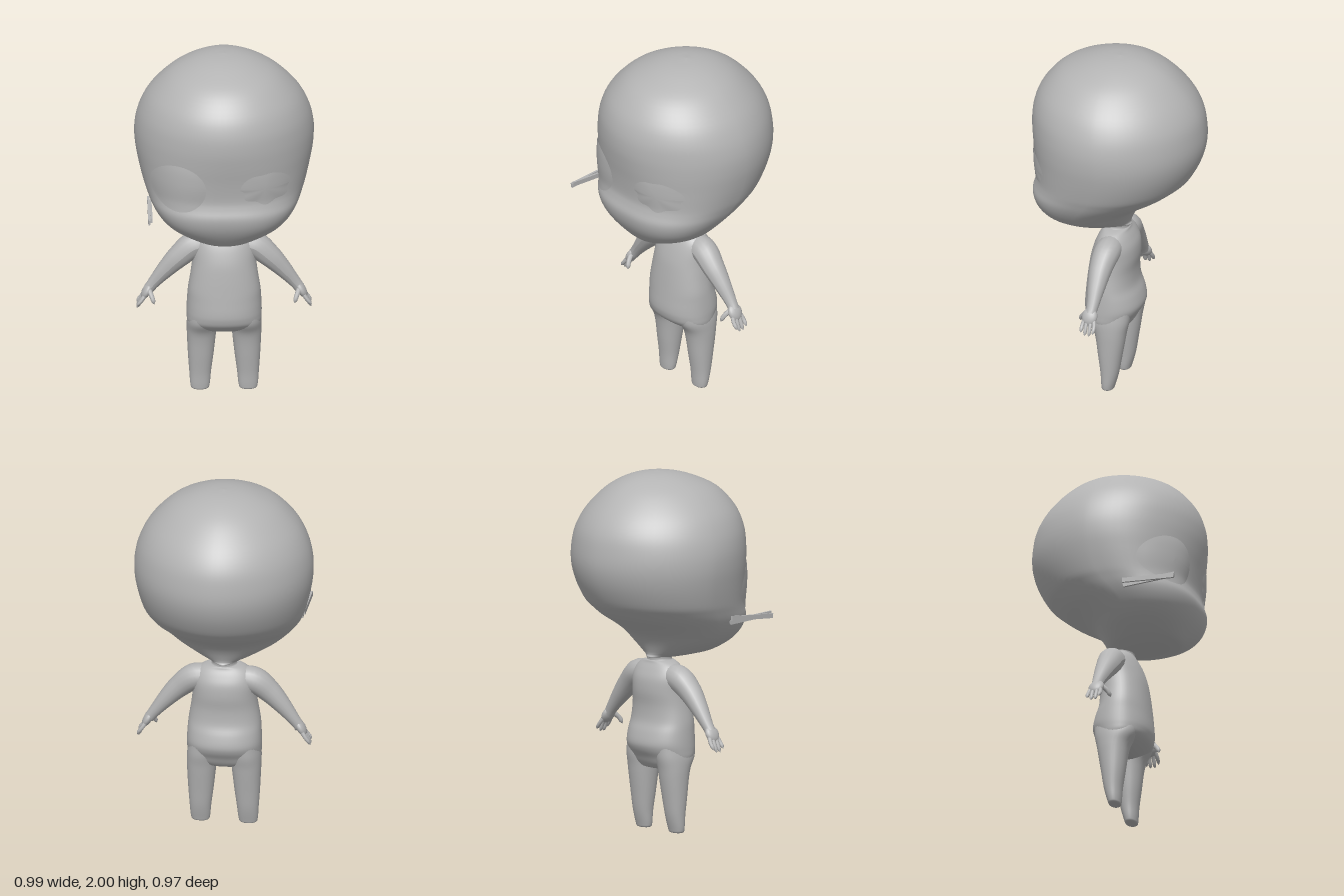
import * as THREE from 'three';

const skin = new THREE.MeshStandardMaterial({ color: 0xb4b4b4, side: THREE.DoubleSide });
skin.name = 'plain grey';

// Smooth curves through sections [y, centreX, halfWidth, frontZ, backZ, frontPower], bottom to top.
// The powers set how square (above 2) or pinched (below 2) each half of a ring is.
function profile(sections, power = 2) {
  const curve = (f) => new THREE.CatmullRomCurve3(sections.map(f), false, 'catmullrom', 0.5);
  const a = curve(([y, cx, w]) => new THREE.Vector3(cx, y, w));
  const b = curve(([, , , f, k, p = power]) => new THREE.Vector3((f + k) / 2, (f - k) / 2, p));
  return (t) => {
    const p = a.getPoint(t), q = b.getPoint(t);
    return { y: p.y, cx: p.x, w: Math.max(p.z, 0), zc: q.x, d: Math.max(q.y, 0), front: q.z, back: power };
  };
}

// Skin a profile with rounded rings.
function loft(at, rings, segs) {
  const pos = [], index = [];
  const round = (v, power) => Math.sign(v) * Math.pow(Math.abs(v), 2 / power);
  for (let i = 0; i <= rings; i++) {
    const s = at(i / rings);
    for (let j = 0; j < segs; j++) {
      const t = (j / segs) * Math.PI * 2;
      const power = j < segs / 2 ? s.front : s.back;
      pos.push(s.cx + s.w * round(Math.cos(t), power), s.y, s.zc + s.d * round(Math.sin(t), power));
      if (i === rings) continue;
      const a = i * segs + j, b = i * segs + (j + 1) % segs;
      index.push(a, a + segs, b, b, a + segs, b + segs);
    }
  }
  const g = new THREE.BufferGeometry();
  g.setAttribute('position', new THREE.Float32BufferAttribute(pos, 3));
  g.setIndex(index);
  g.computeVertexNormals();
  return g;
}

// Tube through [x, y, z, radius] points with a changing radius.
function limb(points, steps = 24, segs = 16) {
  const curve = new THREE.CatmullRomCurve3(points.map((p) => new THREE.Vector3(p[0], p[1], p[2])));
  const radii = new THREE.SplineCurve(points.map((p, i) => new THREE.Vector2(i, p[3])));
  const g = new THREE.TubeGeometry(curve, steps, 1, segs);
  const pos = g.attributes.position, v = new THREE.Vector3();
  for (let i = 0; i < pos.count; i++) {
    const u = Math.floor(i / (segs + 1)) / steps;
    const c = curve.getPointAt(u);
    const r = Math.max(radii.getPoint(curve.getUtoTmapping(u)).y, 0);
    v.fromBufferAttribute(pos, i).sub(c).multiplyScalar(r).add(c);
    pos.setXYZ(i, v.x, v.y, v.z);
  }
  g.computeVertexNormals();
  return g;
}

const headAt = profile([
  [0.962, 0, 0, 0.15, 0.1, 2], [0.965, 0, 0.065, 0.24, -0.055, 2], [0.98, 0, 0.13, 0.315, -0.06, 2.1],
  [1.0, 0, 0.19, 0.36, -0.065, 2.2], [1.05, 0, 0.282, 0.405, -0.09, 2.35], [1.1, 0, 0.34, 0.438, -0.13, 2.45],
  [1.15, 0, 0.38, 0.458, -0.2, 2.5], [1.2, 0, 0.41, 0.464, -0.285, 2.5], [1.25, 0, 0.432, 0.45, -0.35, 2.42],
  [1.3, 0, 0.45, 0.443, -0.4, 2.35], [1.4, 0, 0.475, 0.455, -0.455, 2.2], [1.5, 0, 0.491, 0.472, -0.483, 2.08],
  [1.6, 0, 0.49, 0.483, -0.482, 2], [1.7, 0, 0.465, 0.475, -0.46, 2], [1.8, 0, 0.41, 0.435, -0.4, 2],
  [1.9, 0, 0.31, 0.345, -0.3, 2], [1.96, 0, 0.2, 0.22, -0.2, 2], [1.99, 0, 0.1, 0.11, -0.1, 2], [2.0, 0, 0, 0, 0, 2],
], 1.85);

// Depth of the face at a given x and y.
function faceZ(x, y) {
  let lo = 0, hi = 1;
  for (let i = 0; i < 24; i++) {
    const mid = (lo + hi) / 2;
    if (headAt(mid).y < y) lo = mid; else hi = mid;
  }
  const s = headAt(lo);
  return s.zc + s.d * Math.pow(Math.max(0, 1 - Math.abs(x / s.w) ** s.front), 1 / s.front);
}

// Slightly domed eye plate laid on the face; edge(angle) shapes its outline.
function eyePlate(cx, cy, rx, ry, dome, edge) {
  const g = new THREE.RingGeometry(0.001, 1, 64, 8);
  const pos = g.attributes.position;
  for (let i = 0; i < pos.count; i++) {
    const px = pos.getX(i), py = pos.getY(i), k = edge(Math.atan2(py, px));
    const x = cx + px * rx * k, y = cy + py * ry * k;
    pos.setXYZ(i, x, y, faceZ(x, y) + 0.005 + dome * (1 - px * px - py * py));
  }
  g.computeVertexNormals();
  return g;
}

export function createModel() {
  const model = new THREE.Group();
  model.name = 'bigHeadedFigure';
  const add = (name, geometry, parent = model) => {
    const m = new THREE.Mesh(geometry, skin);
    m.name = name;
    parent.add(m);
    return m;
  };

  // Head and eyes; the left eye has a ragged lower edge
  add('head', loft(headAt, 72, 72));
  add('rightEye', eyePlate(-0.26, 1.365, 0.152, 0.137, 0.018, () => 1));
  add('leftEye', eyePlate(0.22, 1.37, 0.14, 0.095, 0.008,
    (a) => (Math.sin(a) < 0 ? 0.95 + 0.08 * Math.sin(a * 7) : 1 - 0.1 * Math.exp(-(((a - 1.7) / 0.3) ** 2)))));

  // Thin forked sliver beside the right cheek
  const sliver = new THREE.Group();
  sliver.name = 'cheekSliver';
  model.add(sliver);
  for (const [x, y, tilt] of [[-0.42, 1.2, 0.06], [-0.408, 1.195, -0.06]]) {
    const strip = add('sliverStrip', new THREE.BoxGeometry(0.012, 0.026, 0.3), sliver);
    strip.position.set(x, y, 0.32);
    strip.rotation.x = tilt;
  }

  // Neck and torso
  add('neck', loft(profile([
    [0.9, 0, 0.12, 0.1, -0.07], [0.94, 0, 0.085, 0.087, -0.055],
    [0.96, 0, 0.068, 0.085, -0.052], [1.0, 0, 0.08, 0.1, -0.06],
  ]), 12, 32));
  add('torso', loft(profile([
    [0.35, 0, 0, 0.01, 0], [0.353, 0, 0.11, 0.06, -0.05], [0.38, 0, 0.185, 0.115, -0.078],
    [0.42, 0, 0.203, 0.165, -0.1], [0.46, 0, 0.206, 0.182, -0.125], [0.5, 0, 0.206, 0.185, -0.135],
    [0.56, 0, 0.203, 0.18, -0.122], [0.62, 0, 0.198, 0.174, -0.1], [0.7, 0, 0.185, 0.165, -0.095],
    [0.78, 0, 0.175, 0.153, -0.104], [0.85, 0, 0.172, 0.133, -0.1], [0.9, 0, 0.16, 0.112, -0.08],
    [0.935, 0, 0.125, 0.092, -0.06], [0.952, 0, 0.07, 0.08, -0.05], [0.955, 0, 0, 0.03, 0],
  ], 2.2), 56, 48));

  for (const s of [1, -1]) {
    const side = s > 0 ? 'left' : 'right';

    // Leg blending into the hip and tapering to a blunt flat-soled foot
    add(side + 'Leg', loft(profile([
      [0, s * 0.132, 0, 0.022, 0.022], [0.002, s * 0.132, 0.042, 0.05, -0.008],
      [0.025, s * 0.132, 0.053, 0.056, -0.018], [0.1, s * 0.131, 0.06, 0.062, -0.038],
      [0.2, s * 0.128, 0.07, 0.076, -0.055], [0.3, s * 0.125, 0.078, 0.09, -0.072],
      [0.36, s * 0.123, 0.082, 0.106, -0.082], [0.42, s * 0.12, 0.084, 0.14, -0.095],
      [0.48, s * 0.115, 0.08, 0.15, -0.1],
    ], 2.15), 40, 32));

    // Arm sloping out to the wrist
    add(side + 'Arm', limb([
      [s * 0.08, 0.87, 0.01, 0.066], [s * 0.165, 0.858, 0.015, 0.073], [s * 0.245, 0.795, 0.022, 0.064],
      [s * 0.32, 0.715, 0.02, 0.049], [s * 0.385, 0.635, 0.017, 0.034], [s * 0.415, 0.595, 0.018, 0.03],
    ]));

    // Hand: flat palm, thumb and four fingers
    const hand = new THREE.Group();
    hand.name = side + 'Hand';
    model.add(hand);
    const palm = add('palm', new THREE.SphereGeometry(1, 20, 14), hand);
    palm.scale.set(0.024, 0.05, 0.044);
    palm.position.set(s * 0.425, 0.585, 0.02);
    palm.rotation.z = s * 0.5;
    add('thumb', limb([
      [s * 0.41, 0.595, 0.045, 0.015], [s * 0.397, 0.57, 0.072, 0.013],
      [s * 0.388, 0.545, 0.085, 0.011], [s * 0.385, 0.532, 0.088, 0],
    ], 10, 10), hand);
    [[0.053, 0.505], [0.031, 0.488], [0.007, 0.488], [-0.016, 0.503]].forEach(([z, tip]) => {
      add('finger', limb([
        [s * 0.43, 0.575, 0.02 + (z - 0.02) * 0.7, 0.013], [s * 0.453, 0.54, z, 0.011],
        [s * 0.472, tip + 0.012, z, 0.0095], [s * 0.479, tip, z, 0],
      ], 10, 10), hand);
    });
  }
  return model;
}
